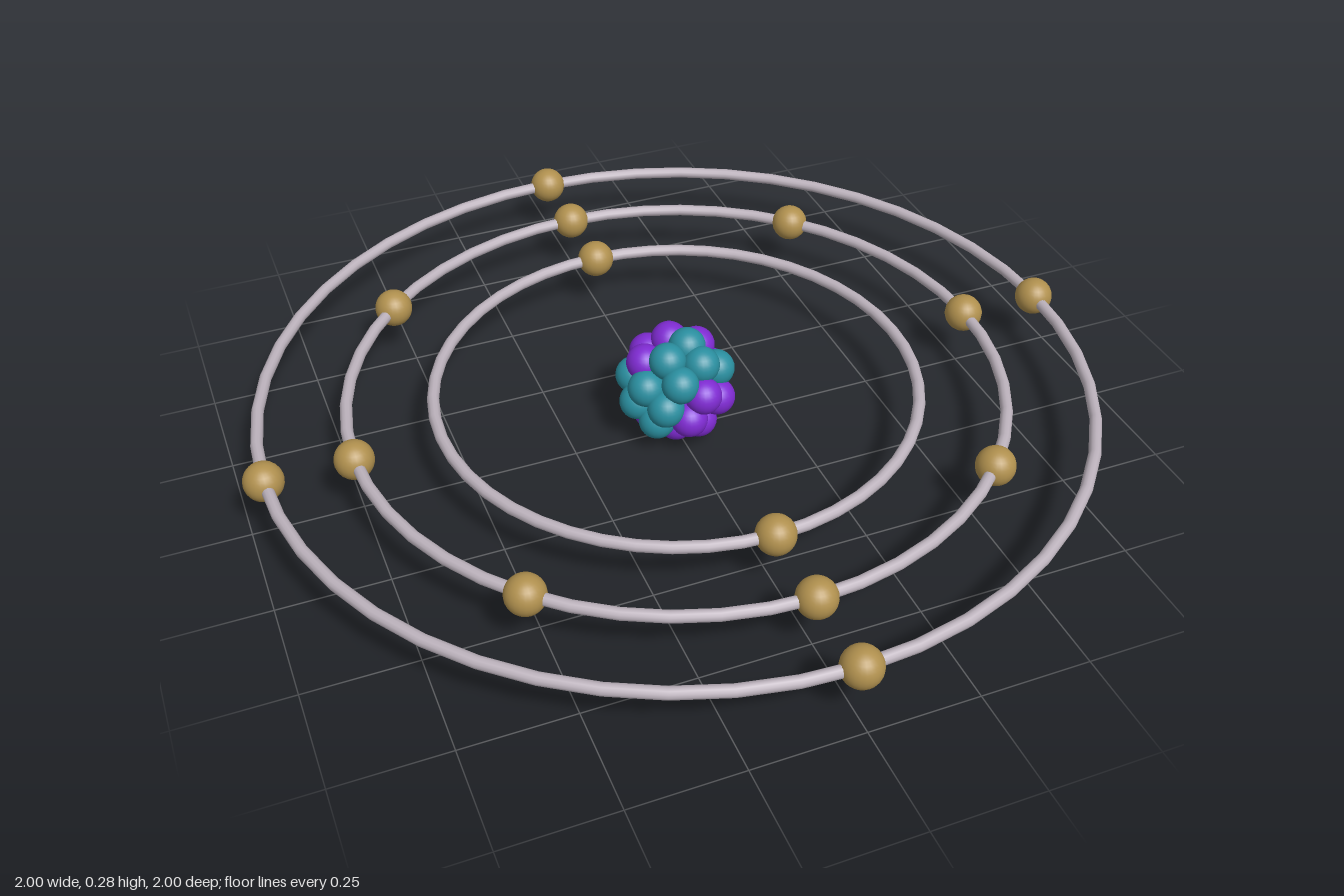
import * as THREE from 'three';

const CENTRE_Y = 0.143;
const material = (color) => new THREE.MeshStandardMaterial({ color });

export function createModel() {
  const model = new THREE.Group();
  model.name = 'atom';

  const ringMaterial = material(0xbcb2bc);
  const electronMaterial = material(0xb0904e);
  const protonMaterial = material(0x7f2bd2);
  const neutronMaterial = material(0x2a8fa0);
  const electronGeometry = new THREE.SphereGeometry(0.045, 24, 16);
  const nucleonGeometry = new THREE.SphereGeometry(0.043, 24, 16);

  // Flat orbit rings with evenly spaced electrons
  const shells = [
    { name: 'inner', radius: 0.56, electrons: 2 },
    { name: 'middle', radius: 0.757, electrons: 8 },
    { name: 'outer', radius: 0.955, electrons: 4 },
  ];
  for (const { name, radius, electrons } of shells) {
    const shell = new THREE.Group();
    shell.name = `${name}Shell`;
    shell.position.y = CENTRE_Y;

    const ring = new THREE.Mesh(new THREE.TorusGeometry(radius, 0.014, 12, 48), ringMaterial);
    ring.name = `${name}OrbitRing`;
    ring.rotation.x = Math.PI / 2;
    shell.add(ring);

    for (let i = 0; i < electrons; i++) {
      const angle = (i / electrons) * Math.PI * 2;
      const electron = new THREE.Mesh(electronGeometry, electronMaterial);
      electron.name = 'electron';
      electron.position.set(Math.sin(angle) * radius, 0, Math.cos(angle) * radius);
      shell.add(electron);
    }
    model.add(shell);
  }

  // Nucleus: balls spread over spheres by the golden angle, an outer layer around a small core
  const nucleus = new THREE.Group();
  nucleus.name = 'nucleus';
  nucleus.position.y = CENTRE_Y;
  const golden = Math.PI * (3 - Math.sqrt(5));
  const addLayer = (count, radius, kinds) => {
    for (let i = 0; i < count; i++) {
      const y = 1 - (2 * i + 1) / count;
      const r = Math.sqrt(1 - y * y);
      const isProton = kinds[i % kinds.length] === 'p';
      const ball = new THREE.Mesh(nucleonGeometry, isProton ? protonMaterial : neutronMaterial);
      ball.name = isProton ? 'proton' : 'neutron';
      ball.position.set(Math.cos(i * golden) * r, y, Math.sin(i * golden) * r).multiplyScalar(radius);
      nucleus.add(ball);
    }
  };
  addLayer(28, 0.1, 'nnpnppnpnnppnpnnpnnppnnpppnp');
  addLayer(4, 0.045, 'pn');
  model.add(nucleus);

  return model;
}
